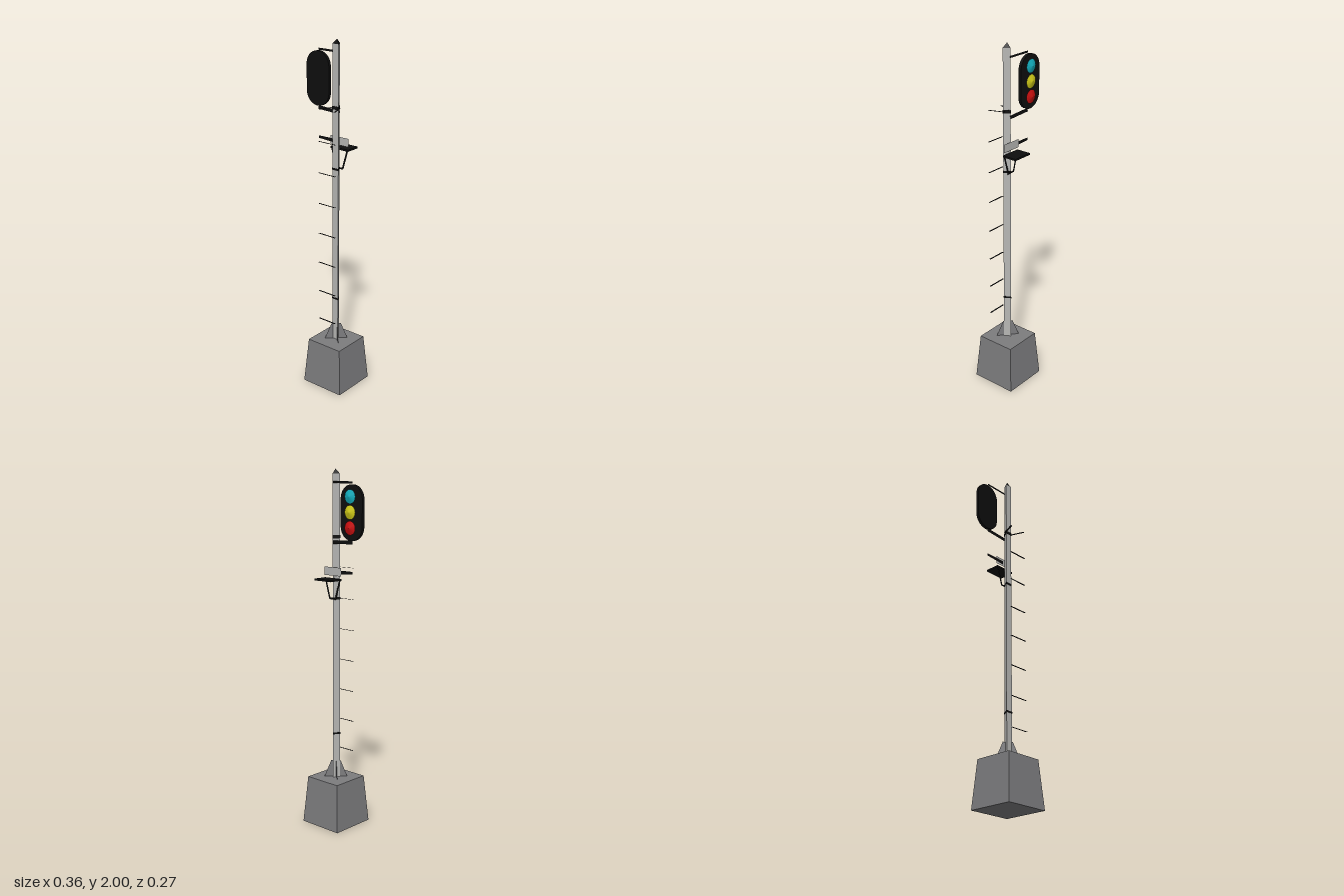
import * as THREE from 'three';

const material = (name, color) => {
  const m = new THREE.MeshStandardMaterial({ color, flatShading: true, side: THREE.DoubleSide });
  m.name = name;
  return m;
};

const PX = 0.043; // x of the mast axis

export function createModel() {
  const black = material('black', 0x0e0e0e);
  const steel = material('steel grey', 0xb6b6b4);
  const concrete = material('concrete grey', 0x7c7c7e);
  const cyan = material('cyan lens', 0x14b0c0);
  const yellow = material('yellow lens', 0xd2cc18);
  const red = material('red lens', 0xcc1010);

  const model = new THREE.Group();
  model.name = 'railwaySignal';

  const add = (name, geometry, mat, x = 0, y = 0, z = 0) => {
    const mesh = new THREE.Mesh(geometry, mat);
    mesh.name = name;
    mesh.position.set(x, y, z);
    model.add(mesh);
    return mesh;
  };

  // Flat polygon in the xy plane
  const plate = (points) =>
    new THREE.ShapeGeometry(new THREE.Shape(points.map(([x, y]) => new THREE.Vector2(x, y))));

  // Flat bar between two points, with a width at each end
  const bar = (x1, y1, x2, y2, w1, w2 = w1) => {
    const len = Math.hypot(x2 - x1, y2 - y1);
    const nx = -(y2 - y1) / len / 2, ny = (x2 - x1) / len / 2;
    return plate([
      [x1 - nx * w1, y1 - ny * w1], [x2 - nx * w2, y2 - ny * w2],
      [x2 + nx * w2, y2 + ny * w2], [x1 + nx * w1, y1 + ny * w1],
    ]);
  };

  // Triangular prism with one edge towards the back
  const prism = (rTop, rBottom, height) =>
    new THREE.CylinderGeometry(rTop, rBottom, height, 3).rotateY(Math.PI);

  // Tapered concrete foot
  const foot = new THREE.CylinderGeometry(0.1125 * Math.SQRT2, 0.1335 * Math.SQRT2, 0.27, 4);
  add('foot', foot.rotateY(Math.PI / 4), concrete, PX, 0.135, 0);

  // Crossed gusset fins at the bottom of the mast
  for (const s of [-1, 1]) {
    const fin = plate([[-0.065, 0.27], [0.065, 0.27], [0.027, 0.365], [-0.027, 0.365]]);
    add('gussetFin', fin.rotateY(s * 0.7), concrete, PX, 0, 0);
  }

  // Mast, pointed cap and clamps
  add('mast', prism(0.0235, 0.0235, 1.705), steel, PX, 1.1225, 0);
  add('mastCap', prism(0.001, 0.0235, 0.025), black, PX, 1.9875, 0);
  for (const [y, h] of [[1.64, 0.018], [1.303, 0.012], [0.53, 0.01]])
    add('clamp', prism(0.026, 0.026, h), black, PX, y, 0);

  // Flat step rungs in front of the mast
  for (let i = 0; i < 7; i++)
    add('rung', bar(-0.058, 0.082, 0.058, 0.082, 0.01).rotateX(Math.PI / 2), black, PX, 0.415 + i * 0.175, 0);

  // Splayed stays carried by the top clamp
  for (const s of [-1, 1])
    add('topStay', bar(s * 0.022, 0.003, s * 0.053, 0.085, 0.011).rotateX(Math.PI / 2), black, PX, 1.64, 0);
  add('topStayLink', bar(-0.026, 0.006, 0.026, 0.006, 0.008).rotateX(Math.PI / 2), black, PX, 1.64, 0);

  // Service platform with braces and back plate
  add('platform', new THREE.BoxGeometry(0.12, 0.01, 0.085), black, PX, 1.41, -0.0625);
  for (const s of [-1, 1])
    add('platformBrace', bar(s * 0.054, 1.412, s * 0.022, 1.302, 0.011), black, PX, 0, -0.024);
  add('braceFoot', bar(-0.026, 1.302, 0.026, 1.302, 0.01), black, PX, 0, -0.024);
  add('backPlate', bar(-0.02, 1.452, 0.102, 1.452, 0.046), steel, 0, 0, -0.026);

  // Flat hanger arms reaching to the side
  add('upperHanger', bar(-0.1, 1.93, 0.045, 1.93, 0.011), black, 0, 0, -0.022);
  add('lowerHanger', bar(-0.1, 1.617, 0.045, 1.61, 0.02), black, 0, 0, -0.022);
  add('sideArm', bar(-0.1, 1.453, 0.03, 1.449, 0.014, 0.022), black, 0, 0, -0.022);

  // Rounded signal board
  const r = 0.0765, straight = 0.071;
  const outline = new THREE.Shape();
  outline.absarc(0, straight, r, 0, Math.PI, false);
  outline.absarc(0, -straight, r, Math.PI, Math.PI * 2, false);
  outline.closePath();
  const board = new THREE.ExtrudeGeometry(outline, { depth: 0.017, bevelEnabled: false, curveSegments: 14 });
  add('signalBoard', board, black, -0.103, 1.7725, -0.035);

  // Shallow conical lenses facing the back
  [[cyan, 1.857], [yellow, 1.775], [red, 1.693]].forEach(([mat, y]) => {
    const lens = new THREE.ConeGeometry(0.038, 0.012, 16, 1, true).rotateX(-Math.PI / 2);
    add('lens', lens, mat, -0.1, y, -0.049);
  });

  return model;
}
